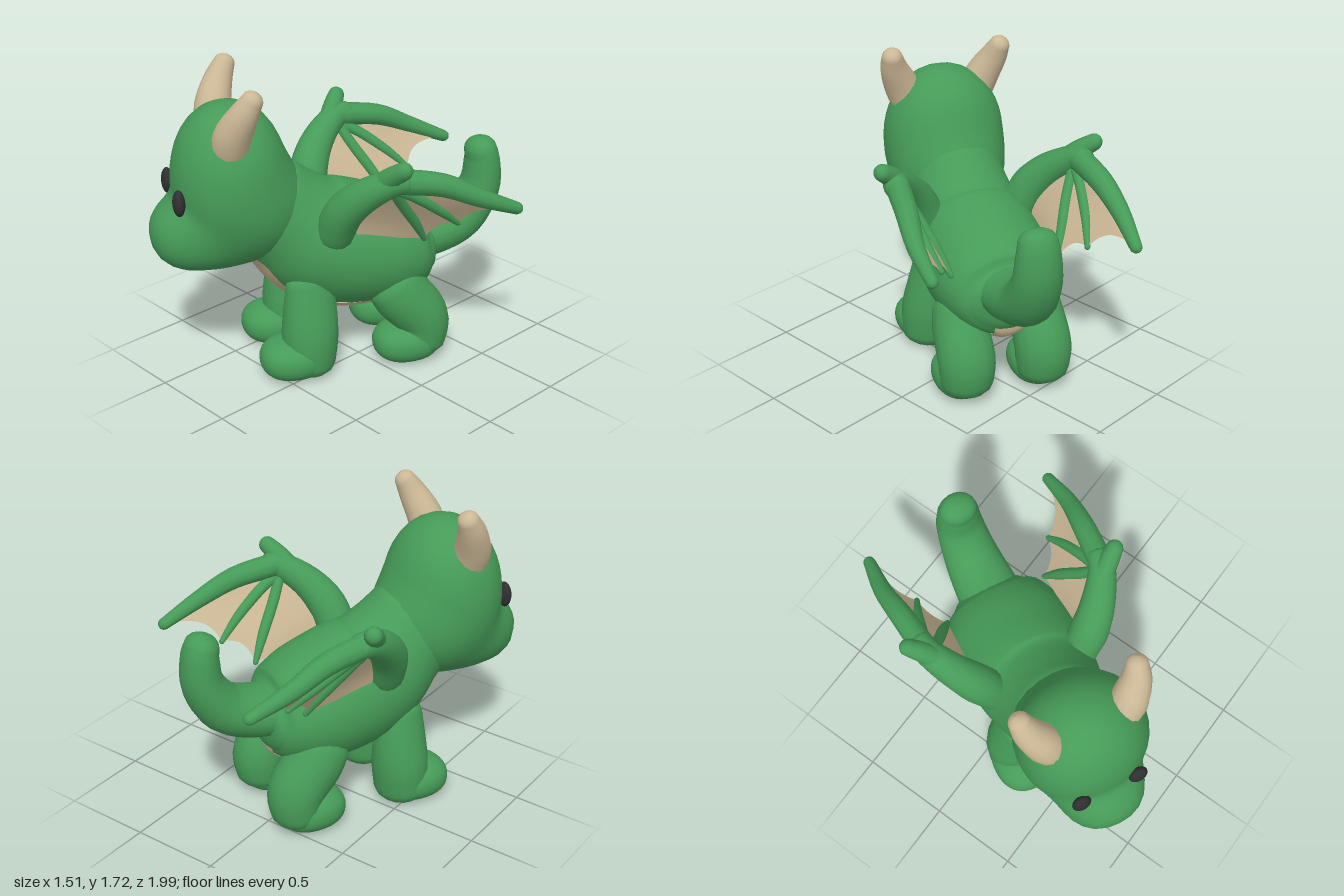
import * as THREE from 'three';
import { mergeVertices } from 'three/addons/utils/BufferGeometryUtils.js';

const material = (name, color, extra = {}) => {
  const m = new THREE.MeshStandardMaterial({ color, ...extra });
  m.name = name;
  return m;
};

function surface(positions, index) {
  const g = new THREE.BufferGeometry();
  g.setAttribute('position', new THREE.Float32BufferAttribute(positions, 3));
  g.setIndex(index);
  g.computeVertexNormals();
  return g;
}

// Smooth curve sampler: keys are [x, y, z, radiusAcross, radiusUp, halfArc]
function sampler(keys) {
  const curve = (f) => new THREE.CatmullRomCurve3(keys.map(f), false, 'catmullrom', 0.5);
  const path = curve((k) => new THREE.Vector3(k[0], k[1], k[2]));
  const size = curve((k) => new THREE.Vector3(k[3], k[4] ?? k[3], k[5] ?? 0));
  return (t) => {
    const T = path.getTangent(t);
    const S = new THREE.Vector3(1, 0, 0).addScaledVector(T, -T.x).normalize();
    return { c: path.getPoint(t), T, S, N: T.clone().cross(S), r: size.getPoint(t) };
  };
}

// Rounded limb swept along keys, with domed ends
function limb(keys, { sides = 16, dome = 1 } = {}) {
  const at = sampler(keys), steps = (keys.length - 1) * 4, rings = [];
  const cap = (t, dir) => [90, 65, 42, 20].map((deg) => {
    const a = deg * Math.PI / 180, f = at(t);
    f.c.addScaledVector(f.T, dir * dome * f.r.y * Math.sin(a));
    f.r.multiplyScalar(Math.max(Math.cos(a), 0.001));
    return f;
  });
  rings.push(...cap(0, -1));
  for (let i = 0; i <= steps; i++) rings.push(at(i / steps));
  rings.push(...cap(1, 1).reverse());
  const pos = [], idx = [];
  rings.forEach(({ c, S, N, r }, i) => {
    for (let j = 0; j < sides; j++) {
      const a = j / sides * Math.PI * 2;
      const p = c.clone().addScaledVector(S, r.x * Math.cos(a)).addScaledVector(N, r.y * Math.sin(a));
      pos.push(p.x, Math.max(p.y, 0), p.z);
      if (i === rings.length - 1) continue;
      const a0 = i * sides + j, b0 = i * sides + (j + 1) % sides;
      idx.push(a0, b0, a0 + sides, b0, b0 + sides, a0 + sides);
    }
  });
  return surface(pos, idx);
}

// Grid surface from a function of (u, v)
function sheet(fn, nu, nv) {
  const pos = [], idx = [];
  for (let i = 0; i <= nu; i++) for (let j = 0; j <= nv; j++) {
    pos.push(...fn(i / nu, j / nv).toArray());
    if (i === nu || j === nv) continue;
    const a = i * (nv + 1) + j, c = a + nv + 1;
    idx.push(a, a + 1, c, a + 1, c + 1, c);
  }
  return surface(pos, idx);
}

// Smoothly blended union of boxy ellipsoids [centre, radii, k], seen from a point inside all of them
function blob(origin, parts, soft = 0.1) {
  let g = new THREE.SphereGeometry(1, 36, 26);
  g.deleteAttribute('uv');
  g.deleteAttribute('normal');
  g = mergeVertices(g, 1e-4);
  const p = g.attributes.position, d = new THREE.Vector3();
  const reach = ([c, r, k = 2]) => {
    let lo = 0, hi = 2;
    for (let n = 0; n < 24; n++) {
      const m = (lo + hi) / 2;
      const f = [d.x, d.y, d.z].reduce((sum, v, i) => sum + Math.abs((origin[i] + v * m - c[i]) / r[i]) ** k, 0);
      if (f < 1) lo = m; else hi = m;
    }
    return lo;
  };
  for (let i = 0; i < p.count; i++) {
    d.fromBufferAttribute(p, i);
    const m = parts.map(reach).reduce((a, b) =>
      Math.max(a, b) + Math.max(soft - Math.abs(a - b), 0) ** 2 / (4 * soft));
    p.setXYZ(i, origin[0] + d.x * m, Math.max(0, origin[1] + d.y * m), origin[2] + d.z * m);
  }
  g.computeVertexNormals();
  return g;
}

export function createModel() {
  const green = material('green skin', 0x469b58);
  const tan = material('tan horn', 0xccb896);
  const tanSheet = material('tan sheet', 0xccb896, { side: THREE.DoubleSide });
  const black = material('black eye', 0x303033);

  const dragon = new THREE.Group();
  dragon.name = 'dragon';
  const add = (name, geometry, mat, parent = dragon) => {
    const mesh = new THREE.Mesh(geometry, mat);
    mesh.name = name;
    parent.add(mesh);
  };

  // Body and neck, rump to head
  const spine = [
    [0, 0.61, -0.41, 0.22, 0.17, 0.4],
    [0, 0.61, -0.34, 0.295, 0.25, 0.3],
    [0, 0.63, -0.18, 0.35, 0.315, 0.32],
    [0, 0.67, 0.04, 0.36, 0.35, 0.42],
    [0, 0.74, 0.24, 0.335, 0.345, 0.55],
    [0, 0.86, 0.39, 0.295, 0.3, 0.62],
    [0, 0.98, 0.52, 0.27, 0.28, 0.3],
  ];
  add('body', limb(spine, { sides: 28, dome: 0.25 }), green);

  // Belly patch hugging the underside, fullest in the middle
  const spineAt = sampler(spine);
  add('belly', sheet((u, v) => {
    const { c, S, N, r } = spineAt(u * 0.93), q = v * 2 - 1;
    const a = -Math.PI / 2 + q * r.z;
    const grow = 0.004 + 0.042 * (1 - q * q) * Math.max(0, Math.sin(Math.PI * Math.min(u * 1.25, 1)));
    return c.addScaledVector(S, (r.x + grow) * Math.cos(a)).addScaledVector(N, (r.y + grow) * Math.sin(a));
  }, 28, 12), tanSheet);

  // Head flowing into the muzzle and the nape
  add('head', blob([0, 0.98, 0.74], [
    [[0, 1.12, 0.685], [0.35, 0.44, 0.315], 2.1],
    [[0, 0.855, 0.845], [0.245, 0.21, 0.285], 2.3],
    [[0, 0.98, 0.57], [0.305, 0.3, 0.3], 2],
  ]), green);

  // Tail curling upward
  add('tail', limb([
    [0, 0.65, -0.27, 0.19, 0.14],
    [0, 0.67, -0.48, 0.175, 0.14],
    [0, 0.74, -0.65, 0.155, 0.135],
    [0, 0.90, -0.755, 0.135, 0.115],
    [0, 1.05, -0.768, 0.12, 0.1],
    [0, 1.13, -0.755, 0.105, 0.09],
  ], { sides: 18, dome: 0.75 }), green);

  for (const s of [1, -1]) {
    const side = s > 0 ? 'left' : 'right';
    const flip = (keys) => keys.map(([x, ...rest]) => [s * x, ...rest]);

    const eye = [s * 0.163, 1.09, 0.992];
    add(side + 'Eye', blob(eye, [[eye, [0.052, 0.073, 0.033]]]), black);

    add(side + 'Horn', limb(flip([
      [0.19, 1.34, 0.72, 0.1],
      [0.24, 1.46, 0.71, 0.1],
      [0.295, 1.58, 0.665, 0.08],
      [0.32, 1.67, 0.62, 0.058],
    ]), { sides: 14, dome: 0.8 }), tan);

    // Legs with forward paws
    add(side + 'FrontLeg', limb(flip([
      [0.21, 0.54, 0.315, 0.09, 0.13],
      [0.215, 0.42, 0.31, 0.12, 0.148],
      [0.22, 0.24, 0.315, 0.16, 0.158],
      [0.22, 0.08, 0.325, 0.16, 0.15],
    ]), { dome: 0.6 }), green);
    const frontPaw = [s * 0.22, 0.11, 0.41];
    add(side + 'FrontPaw', blob(frontPaw, [[frontPaw, [0.17, 0.118, 0.19], 2.3]]), green);

    add(side + 'HindLeg', limb(flip([
      [0.22, 0.47, -0.175, 0.14, 0.16],
      [0.225, 0.385, -0.23, 0.152, 0.165],
      [0.225, 0.25, -0.335, 0.16, 0.155],
      [0.225, 0.11, -0.34, 0.15, 0.14],
    ]), { dome: 0.6 }), green);
    const hindPaw = [s * 0.225, 0.11, -0.25];
    add(side + 'HindPaw', blob(hindPaw, [[hindPaw, [0.16, 0.118, 0.195], 2.3]]), green);

    // Wing: arm, thumb, three fingers and the skin stretched between them
    const wing = new THREE.Group();
    wing.name = side + 'Wing';
    dragon.add(wing);
    add('wingArm', limb(flip([
      [0.262, 0.85, 0.18, 0.105],
      [0.338, 1.0, 0.15, 0.107],
      [0.428, 1.12, 0.068, 0.092],
      [0.51, 1.21, -0.05, 0.074],
      [0.53, 1.225, -0.13, 0.066],
    ]), { dome: 0.5 }), green, wing);
    add('wingThumb', limb(flip([
      [0.47, 1.19, 0.0, 0.058],
      [0.54, 1.26, -0.05, 0.056],
      [0.6, 1.31, -0.09, 0.047],
    ]), { sides: 12 }), green, wing);

    const fingers = [
      [[0.5, 1.18, -0.06, 0.03], [0.43, 1.05, -0.14, 0.032], [0.36, 0.9, -0.24, 0.03], [0.304, 0.765, -0.316, 0.016]],
      [[0.5, 1.18, -0.06, 0.03], [0.485, 1.11, -0.19, 0.032], [0.45, 0.99, -0.35, 0.028], [0.409, 0.885, -0.468, 0.016]],
      [[0.52, 1.22, -0.09, 0.068], [0.546, 1.18, -0.325, 0.062], [0.565, 1.09, -0.526, 0.05], [0.552, 0.995, -0.745, 0.034]],
    ].map(flip);
    fingers.forEach((keys) => add('wingFinger', limb(keys, { sides: 10 }), green, wing));

    const root = flip([[0.5, 1.18, -0.06, 0], [0.428, 1.1, 0.04, 0], [0.34, 0.95, 0.1, 0], [0.3, 0.8, 0.05, 0]]);
    const ribs = [root, ...fingers].map(sampler);
    for (let k = 0; k < 3; k++) {
      add('wingSkin', sheet((u, v) => {
        const t = u * (1 - [0.12, 0.4, 0.5][k] * v * (1 - v));
        return ribs[k](t).c.lerp(ribs[k + 1](t).c, v);
      }, 12, 10), tanSheet, wing);
    }
  }

  // Turn the figure to its resting heading
  dragon.rotation.y = -0.459;
  dragon.position.set(-0.103, 0, -0.051);
  const model = new THREE.Group();
  model.name = 'model';
  model.add(dragon);
  return model;
}
